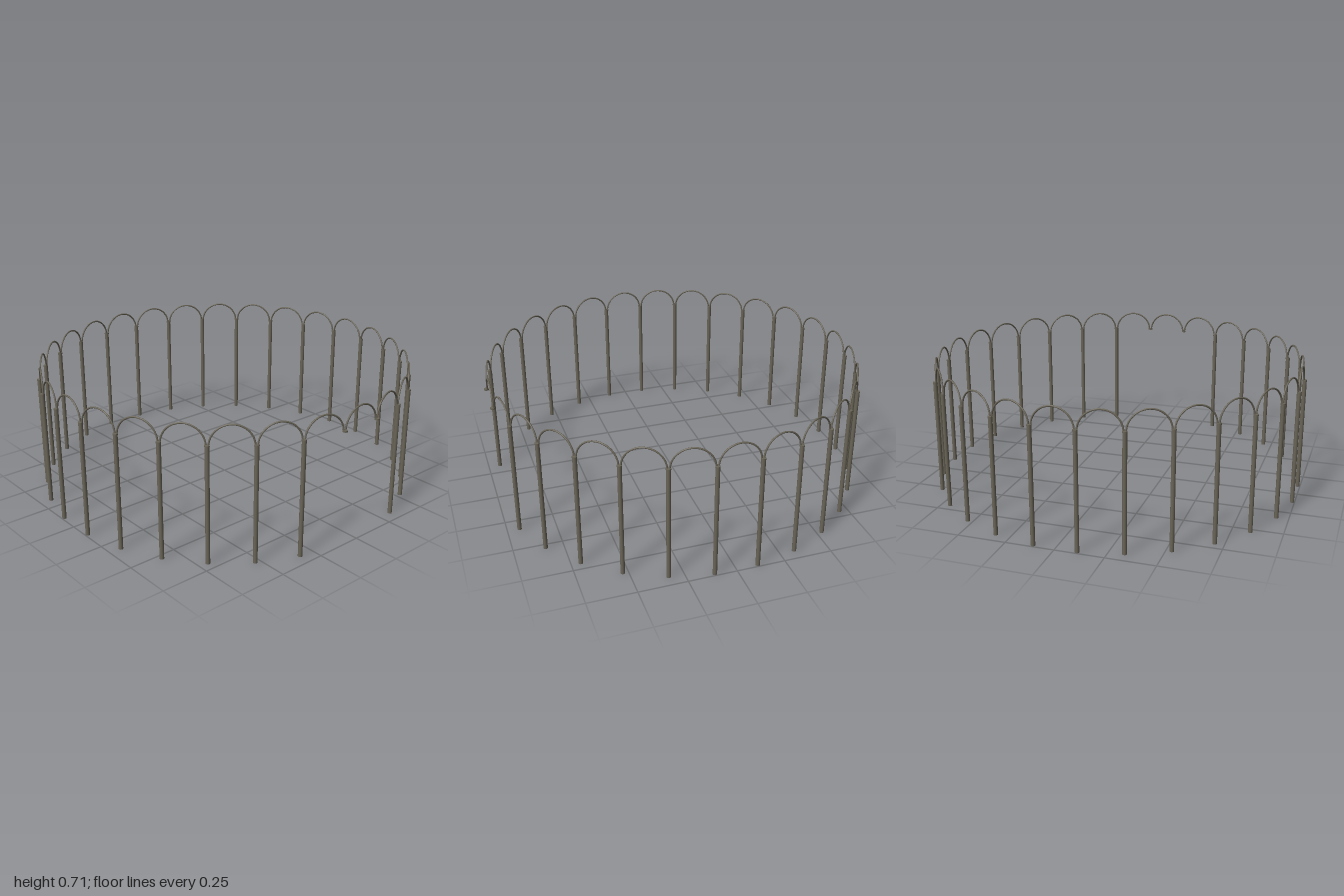
import * as THREE from 'three';

const COUNT = 28;          // posts around the ring
const RADIUS = 0.993;      // ring radius to post centres
const POST_H = 0.6;
const POST_R = 0.0112;
const CAP_R = 0.0125;
const CAP_H = 0.008;
const ARCH_H = 0.105;
const ARCH_HALF_SPAN = 0.105;
const ARCH_APOTHEM = 0.983; // arches stand slightly inside the post line
const ARCH_R = 0.0045;

// Half-ellipse running between two neighbouring post tops
class ArchCurve extends THREE.Curve {
  getPoint(t, target = new THREE.Vector3()) {
    const a = Math.PI * (1 - t);
    return target.set(ARCH_HALF_SPAN * Math.cos(a), ARCH_H * Math.sin(a), 0);
  }
}

export function createModel() {
  const model = new THREE.Group();
  model.name = 'archedRingFence';

  const metal = new THREE.MeshStandardMaterial({ color: 0x6a6558 });
  metal.name = 'weathered metal';

  const step = (Math.PI * 2) / COUNT;
  const postGeo = new THREE.CylinderGeometry(POST_R, POST_R, POST_H, 12);
  const capGeo = new THREE.CylinderGeometry(CAP_R, CAP_R, CAP_H, 12);
  const archGeo = new THREE.TubeGeometry(new ArchCurve(), 28, ARCH_R, 8, false);

  // Place a part on the ring at a given radius, height and angle
  const add = (name, geometry, radius, y, angle) => {
    const mesh = new THREE.Mesh(geometry, metal);
    mesh.name = name;
    mesh.position.set(radius * Math.sin(angle), y, radius * Math.cos(angle));
    mesh.rotation.y = angle;
    model.add(mesh);
  };

  for (let i = 0; i < COUNT; i++) {
    // Posts sit half a step off the axes; the two at the front are left out as an entrance
    const angle = (i + 0.5) * step;
    const entrance = i === 0 || i === COUNT - 1;
    if (!entrance) add('post', postGeo, RADIUS, POST_H / 2, angle);
    add('postCap', capGeo, RADIUS, POST_H + CAP_H / 2, angle);

    // Arch over each gap
    add('arch', archGeo, ARCH_APOTHEM, POST_H, i * step);
  }
  return model;
}
